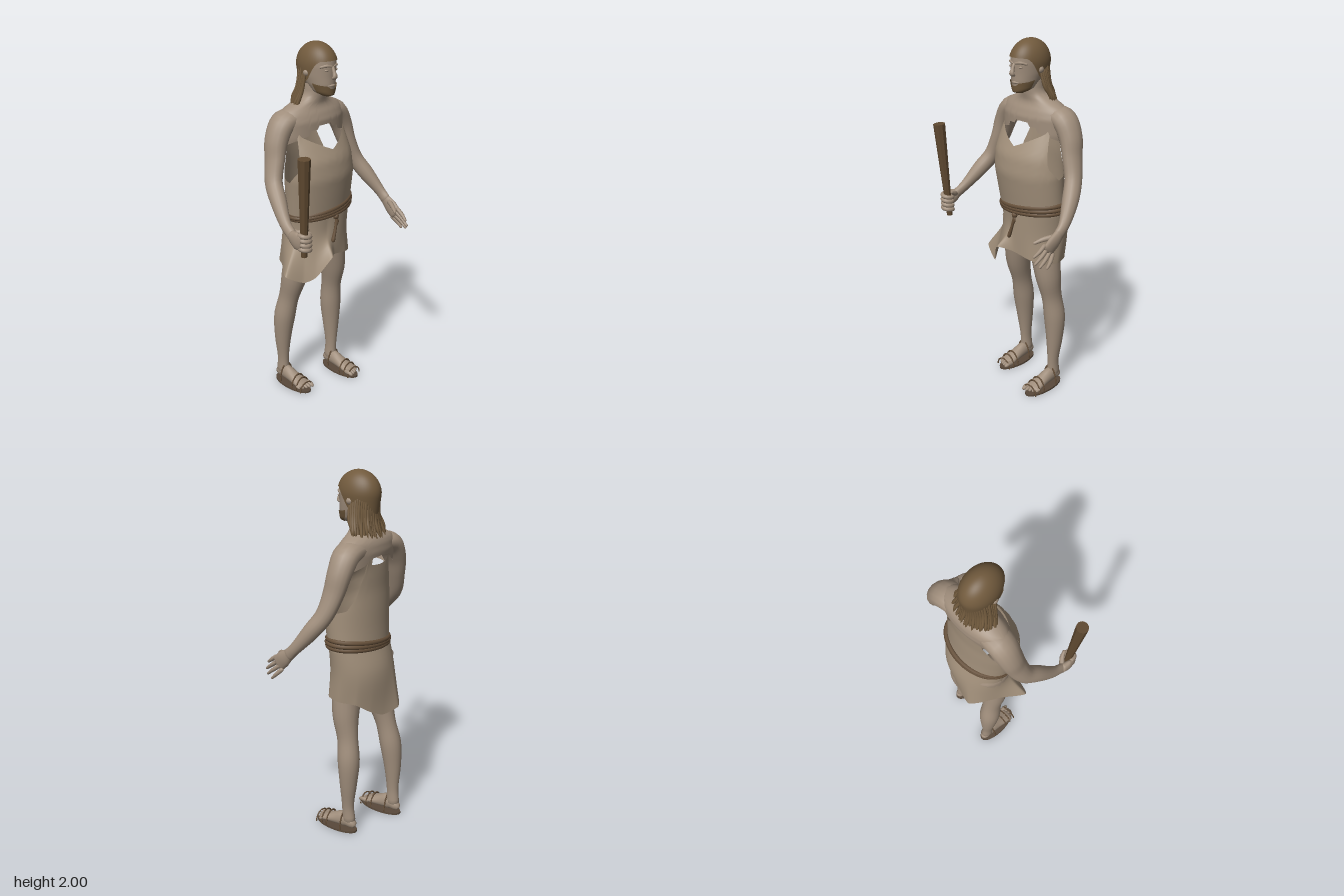
import * as THREE from 'three';

const mat = (name, color, side = THREE.FrontSide) => {
  const m = new THREE.MeshStandardMaterial({ color, side });
  m.name = name;
  return m;
};

// Linear lookup in a table of rows whose first entry is the key.
function lookup(table, k) {
  let i = 0;
  while (i < table.length - 2 && k > table[i + 1][0]) i++;
  const a = table[i], b = table[i + 1];
  const t = THREE.MathUtils.clamp((k - a[0]) / (b[0] - a[0]), 0, 1);
  return a.map((v, j) => v + (b[j] - v) * t);
}

// Surface from a rule; u runs around, v runs along.
function grid(nu, nv, closed, rule) {
  const pos = [], index = [], cols = closed ? nu : nu + 1;
  for (let j = 0; j <= nv; j++) for (let i = 0; i < cols; i++) pos.push(...rule(i / nu, j / nv));
  for (let j = 0; j < nv; j++) for (let i = 0; i < nu; i++) {
    const a = j * cols + i, b = j * cols + (i + 1) % cols, c = a + cols, d = b + cols;
    index.push(a, c, b, b, c, d);
  }
  const g = new THREE.BufferGeometry();
  g.setAttribute('position', new THREE.Float32BufferAttribute(pos, 3));
  g.setIndex(index);
  g.computeVertexNormals();
  return g;
}

// Oval tube through points [x, y, z, halfWidth, halfDepth], with rounded ends.
function sweep(pts, ref = [0, 0, 1], seg = 16) {
  const curve = new THREE.CatmullRomCurve3(pts.map(p => new THREE.Vector3(p[0], p[1], p[2])));
  const size = new THREE.CatmullRomCurve3(pts.map(p => new THREE.Vector3(p[3], p[4] ?? p[3], 0)), false, 'catmullrom');
  const n = pts.length * 4, R = new THREE.Vector3(...ref);
  return grid(seg, n + 4, true, (u, v) => {
    const row = Math.round(v * (n + 4));
    const t = THREE.MathUtils.clamp((row - 2) / n, 0, 1);
    const end = Math.max(2 - row, row - n - 2, 0);
    const c = curve.getPoint(t), s = size.getPoint(t), T = curve.getTangent(t);
    const N = R.clone().addScaledVector(T, -R.dot(T)).normalize(), B = T.clone().cross(N);
    const k = [1, 0.7, 0.02][end], push = [0, 0.7, 1][end] * Math.min(s.x, s.y) * (t < 0.5 ? -1 : 1);
    c.addScaledVector(T, push).addScaledVector(B, Math.cos(u * 2 * Math.PI) * s.x * k)
      .addScaledVector(N, Math.sin(u * 2 * Math.PI) * s.y * k);
    return c.toArray();
  });
}

// Point on an oval section row [y, halfWidth, halfDepth, centreZ, centreX].
const onRing = (table, y, a, grow = 0) => {
  const [, rx, rz, cz, cx = 0] = lookup(table, y);
  return [cx + Math.sin(a) * (rx + grow), y, cz + Math.cos(a) * (rz + grow)];
};
// Angle away from the front in degrees, 0 to 180.
const fromFront = a => Math.abs(THREE.MathUtils.radToDeg(Math.atan2(Math.sin(a), Math.cos(a))));

const SHOULDERS = [[1.46, 0.2, 0.09, -0.1], [1.52, 0.212, 0.098, -0.1], [1.6, 0.215, 0.104, -0.105], [1.64, 0.205, 0.095, -0.11],
  [1.662, 0.185, 0.085, -0.112], [1.68, 0.145, 0.076, -0.108], [1.697, 0.105, 0.07, -0.1], [1.715, 0.075, 0.064, -0.09],
  [1.74, 0.063, 0.06, -0.082], [1.79, 0.06, 0.06, -0.08]];
const SHOULDER_EDGE = [[0, 1.575], [12, 1.575], [13, 1.555], [28, 1.555], [30, 1.53], [90, 1.48], [148, 1.54], [156, 1.57], [180, 1.58]];
const HEAD = [[1.726, 0.004, 0.004, 0.01], [1.736, 0.03, 0.04, 0.003], [1.75, 0.05, 0.065, -0.02], [1.79, 0.066, 0.086, -0.036],
  [1.83, 0.074, 0.1, -0.05], [1.88, 0.079, 0.11, -0.057], [1.93, 0.079, 0.11, -0.06], [1.98, 0.04, 0.06, -0.06]];
const VEST = [[1.08, 0.208, 0.133, -0.075, 0.015], [1.2, 0.215, 0.138, -0.062, 0.01], [1.3, 0.222, 0.143, -0.053, 0.005],
  [1.4, 0.216, 0.134, -0.056, 0], [1.48, 0.208, 0.115, -0.077, 0], [1.53, 0.205, 0.1, -0.092, 0], [1.6, 0.2, 0.1, -0.105, 0]];
const VEST_EDGE = [[0, 1.45], [48, 1.53], [53, 1.545], [58, 1.52], [66, 1.36], [90, 1.29], [122, 1.31], [136, 1.37], [148, 1.48],
  [155, 1.57], [163, 1.535], [180, 1.53]];

export function createModel() {
  const root = new THREE.Group();
  root.name = 'clubCarrier';
  const skin = mat('skin', 0xa08e7c, THREE.DoubleSide);
  const cloth = mat('hideCloth', 0xa18f7a, THREE.DoubleSide);
  const hair = mat('hair', 0x715a3d, THREE.DoubleSide);
  const wood = mat('wood', 0x604a31);
  const rope = mat('rope', 0x66503a);
  const leather = mat('soleLeather', 0x59493a);
  const add = (name, geo, m, parent = root) => {
    const mesh = new THREE.Mesh(geo, m);
    mesh.name = name;
    parent.add(mesh);
    return mesh;
  };
  let seed = 7;
  const rand = () => (seed = (seed * 16807) % 2147483647) / 2147483647;
  const TAU = Math.PI * 2;

  // Shoulders and neck, open below with a ragged edge
  add('shoulders', grid(96, 24, true, (u, v) => {
    const a = u * TAU, low = lookup(SHOULDER_EDGE, fromFront(a))[1];
    return onRing(SHOULDERS, 1.79 + (low - 1.79) * v, a);
  }), skin);

  // Head and face
  add('head', grid(36, 28, true, (u, v) => onRing(HEAD, 1.98 - 0.254 * v, u * TAU)), skin);
  add('nose', sweep([[0, 1.88, 0.05, 0.008], [0, 1.855, 0.06, 0.01], [0, 1.834, 0.066, 0.015, 0.011], [0, 1.826, 0.056, 0.014, 0.008]]), skin);
  add('lips', sweep([[-0.024, 1.786, 0.042, 0.004], [0, 1.788, 0.051, 0.007], [0.024, 1.786, 0.042, 0.004]], [0, 1, 0], 8), skin);
  for (const s of [-1, 1]) {
    const eye = add('eye', new THREE.SphereGeometry(1, 12, 8), skin);
    eye.position.set(s * 0.033, 1.866, 0.038);
    eye.scale.set(0.013, 0.006, 0.008);
    add('brow', sweep([[s * 0.01, 1.886, 0.05, 0.006], [s * 0.035, 1.89, 0.04, 0.008], [s * 0.058, 1.883, 0.018, 0.006]], [0, 1, 0], 8), skin);
    add('ear', new THREE.SphereGeometry(0.02, 10, 8), skin).position.set(s * 0.076, 1.85, -0.06);
  }
  const beardTop = [[0, 1.77], [15, 1.773], [26, 1.786], [60, 1.792], [85, 1.8]];
  add('beard', grid(40, 8, false, (u, v) => {
    const a = (u - 0.5) * 2.9, top = lookup(beardTop, fromFront(a))[1];
    return onRing(HEAD, top + (1.73 - top) * v, a, 0.006);
  }), hair);

  // Hair cap and hanging locks
  const capEdge = [[0, 1.915], [48, 1.912], [62, 1.89], [82, 1.82], [110, 1.77], [180, 1.74]];
  add('hairCap', grid(48, 18, true, (u, v) => {
    const a = u * TAU, y = 2 - (2 - lookup(capEdge, fromFront(a))[1]) * v * v;
    const r = y > 1.88 ? Math.sqrt(Math.max(0, 1 - ((y - 1.88) / 0.12) ** 2)) : 1 - (1.88 - y) * 1.3;
    return [Math.sin(a) * 0.09 * r, y, -0.063 + Math.cos(a) * 0.124 * r];
  }), hair);
  for (let i = 0; i < 28; i++) {
    const a = 1.5 + (i / 27) * (TAU - 3), sx = Math.sin(a), cz = Math.cos(a);
    const top = 1.83 + rand() * 0.05, low = 1.625 + rand() * 0.07, k = 0.95 + rand() * 0.25;
    add('hairLock', sweep([[sx * 0.082, top, -0.068 + cz * 0.1, 0.006],
      [sx * 0.1, (top + low) / 2, -0.08 + cz * 0.085, 0.01],
      [sx * 0.108 * k, low + 0.03, -0.1 + cz * 0.085, 0.008], [sx * 0.112 * k, low, -0.105 + cz * 0.092, 0.002]], [sx, 0, cz], 7), hair);
  }

  // Sleeveless hide top with arm openings
  add('hideTop', grid(144, 16, true, (u, v) => {
    const a = u * TAU, top = lookup(VEST_EDGE, fromFront(a))[1];
    return onRing(VEST, top + (1.08 - top) * v, a);
  }), cloth);

  // Wrapped skirt with a slanted, flaring hem
  const hem = new THREE.CatmullRomCurve3([[0, 0.85, 0.065], [0.11, 0.825, 0.045], [0.185, 0.805, 0], [0.208, 0.8, -0.08],
    [0.17, 0.79, -0.17], [0.1, 0.74, -0.215], [0.02, 0.705, -0.245], [-0.08, 0.725, -0.275], [-0.14, 0.77, -0.23],
    [-0.21, 0.79, -0.13], [-0.29, 0.78, -0.02], [-0.2, 0.73, 0.025], [-0.14, 0.755, 0.065], [-0.07, 0.87, 0.12]]
    .map(p => new THREE.Vector3(...p)), true, 'catmullrom', 0.3);
  add('skirt', grid(112, 14, true, (u, v) => {
    const h = hem.getPoint(u), a = Math.atan2((h.x - 0.01) / 0.2, (h.z + 0.085) / 0.15);
    const sx = Math.sin(a), cz = Math.cos(a);
    const w = new THREE.Vector3(0.018 + sx * 0.205, 1.12, -0.075 + cz * 0.132);
    const hip = new THREE.Vector3(0.012 + sx * 0.2, 0.96, -0.096 + cz * 0.155);
    return new THREE.CatmullRomCurve3([w, hip, h]).getPoint(v).toArray();
  }), cloth);

  // Rope belt with a hanging knot
  for (const k of [-1, 0, 1]) {
    const loop = Array.from({ length: 24 }, (_, i) => {
      const x = Math.sin(i / 24 * TAU), z = Math.cos(i / 24 * TAU);
      return new THREE.Vector3(0.02 + x * (0.205 + (k ? 0 : 0.005)), 1.103 + k * (0.016 + x * 0.005) + x * 0.02, -0.075 + z * 0.136);
    });
    add('ropeBelt', new THREE.TubeGeometry(new THREE.CatmullRomCurve3(loop, true), 72, 0.0125, 8, true), rope);
  }
  add('beltKnot', new THREE.SphereGeometry(0.017, 10, 8), rope).position.set(0.015, 1.07, 0.062);
  add('beltTail', sweep([[0.018, 1.07, 0.066, 0.008], [0.005, 1.01, 0.07, 0.008], [-0.018, 0.94, 0.074, 0.011]], [0, 0, 1], 8), rope);
  add('beltTail', sweep([[0.015, 1.065, 0.066, 0.006], [0.022, 1.045, 0.07, 0.006], [0.018, 1.025, 0.07, 0.005]], [0, 0, 1], 8), rope);

  // Arms
  const upperArm = s => [[s * 0.09, 1.618, -0.115, 0.045, 0.075], [s * 0.185, 1.6, -0.122, 0.06, 0.076], [s * 0.24, 1.52, -0.12, 0.056, 0.068],
    [s * 0.27, 1.42, -0.105, 0.046, 0.06], [s * 0.308, 1.31, -0.075, 0.042, 0.05]];
  add('leftArm', sweep([...upperArm(1), [0.345, 1.22, -0.015, 0.042, 0.045], [0.379, 1.12, 0.065, 0.026, 0.032], [0.382, 1.08, 0.105, 0.021, 0.033]]), skin);
  add('rightArm', sweep([...upperArm(-1), [-0.338, 1.235, -0.01, 0.042, 0.044], [-0.374, 1.14, 0.08, 0.026, 0.032], [-0.385, 1.1, 0.14, 0.021, 0.03]]), skin);

  // Open left hand
  add('leftPalm', sweep([[0.382, 1.085, 0.1, 0.02, 0.03], [0.382, 1.05, 0.14, 0.019, 0.042], [0.38, 1.015, 0.18, 0.014, 0.042]]), skin);
  [[0.365, 1.0, 0.265], [0.376, 0.965, 0.268], [0.39, 0.945, 0.248], [0.402, 0.932, 0.208]].forEach(([x, y, z], i) => {
    const bx = 0.374 + i * 0.004, by = 1.045 - i * 0.02, bz = 0.203 - i * 0.016;
    add('leftFinger', sweep([[bx, by, bz, 0.012], [(bx + x) / 2 + 0.004, (by + y) / 2, (bz + z) / 2, 0.011], [x, y, z, 0.007]], [1, 0, 0], 8), skin);
  });
  add('leftThumb', sweep([[0.374, 1.075, 0.14, 0.015], [0.347, 1.066, 0.185, 0.013], [0.324, 1.05, 0.222, 0.008]], [0, 1, 0], 8), skin);

  // Right hand closed around the club
  add('rightPalm', sweep([[-0.386, 1.1, 0.14, 0.024, 0.034], [-0.395, 1.09, 0.175, 0.02, 0.048], [-0.4, 1.088, 0.205, 0.013, 0.044]], [0, 1, 0]), skin);
  for (let i = 0; i < 4; i++) {
    const y = 1.045 + i * 0.024;
    const arc = [-1.9, -1.0, -0.1, 0.8, 1.6, 2.1].map(a => [-0.37 + Math.sin(a) * 0.028, y - 0.004 * a, 0.21 + Math.cos(a) * 0.028, 0.012]);
    add('rightFinger', sweep(arc, [0, 1, 0], 8), skin);
  }
  add('rightThumb', sweep([[-0.375, 1.11, 0.15, 0.015], [-0.35, 1.125, 0.178, 0.013], [-0.338, 1.14, 0.205, 0.008]], [0, 1, 0], 8), skin);

  // Club, thick end up
  const clubGeo = new THREE.CylinderGeometry(0.033, 0.016, 0.53, 9, 5).toNonIndexed();
  clubGeo.computeVertexNormals();
  const club = add('club', clubGeo, wood);
  club.position.set(-0.378, 1.263, 0.218);
  club.rotation.set(0.06, 0, 0.045);

  // Legs, feet and sandals; the right leg stands further back
  for (const s of [1, -1]) {
    const side = s > 0 ? 'left' : 'right', back = y => s > 0 ? 0 : -0.088 * Math.min(1, Math.max(0, 1.05 - y) / 0.85);
    const leg = [[0.1, 1.0, -0.09, 0.085, 0.115], [0.115, 0.85, -0.075, 0.083, 0.085], [0.137, 0.7, -0.078, 0.07, 0.074],
      [0.147, 0.57, -0.098, 0.053, 0.06], [0.157, 0.44, -0.113, 0.059, 0.062], [0.16, 0.3, -0.113, 0.046, 0.05],
      [0.157, 0.16, -0.108, 0.03, 0.036], [0.155, 0.07, -0.112, 0.031, 0.04]];
    add(side + 'Leg', sweep(leg.map(([x, y, z, a, b]) => [s * x, y, z + back(y), a, b]), [0, 0, 1], 20), skin);

    const foot = new THREE.Group();
    foot.name = side + 'Foot';
    foot.position.set(s * 0.155, 0, s > 0 ? 0 : -0.088);
    root.add(foot);
    add('footBody', sweep([[0, 0.048, -0.135, 0.026, 0.028], [0, 0.062, -0.09, 0.031, 0.046], [0, 0.052, -0.03, 0.036, 0.036],
      [0, 0.04, 0.03, 0.045, 0.022], [0, 0.034, 0.062, 0.045, 0.015]], [0, 1, 0]), skin, foot);
    for (let i = 0; i < 5; i++) {
      const r = i ? 0.01 : 0.014, x = s * (-0.034 + i * 0.018 + (i ? 0.003 : 0)), z = 0.095 - i * i * 0.002;
      add('toe', sweep([[x, 0.034, 0.05, r], [x, 0.034, z - 0.015, r], [x, 0.03, z, r * 0.8]], [0, 1, 0], 8), skin, foot);
    }
    const sole = add('sole', new THREE.CylinderGeometry(1, 1, 0.011, 32), leather, foot);
    sole.position.set(0, 0.0055, -0.028);
    sole.scale.set(0.056, 1, 0.135);
    for (const [z, h] of [[0.083, 0.06], [0.047, 0.075], [0.012, 0.082], [-0.085, 0.115]]) {
      const strap = add('strap', new THREE.TorusGeometry(0.05, 0.004, 6, 16, Math.PI), rope, foot);
      strap.position.set(0, 0.008, z);
      strap.scale.set(1, (h - 0.008) / 0.05, 1);
    }
  }
  return root;
}
